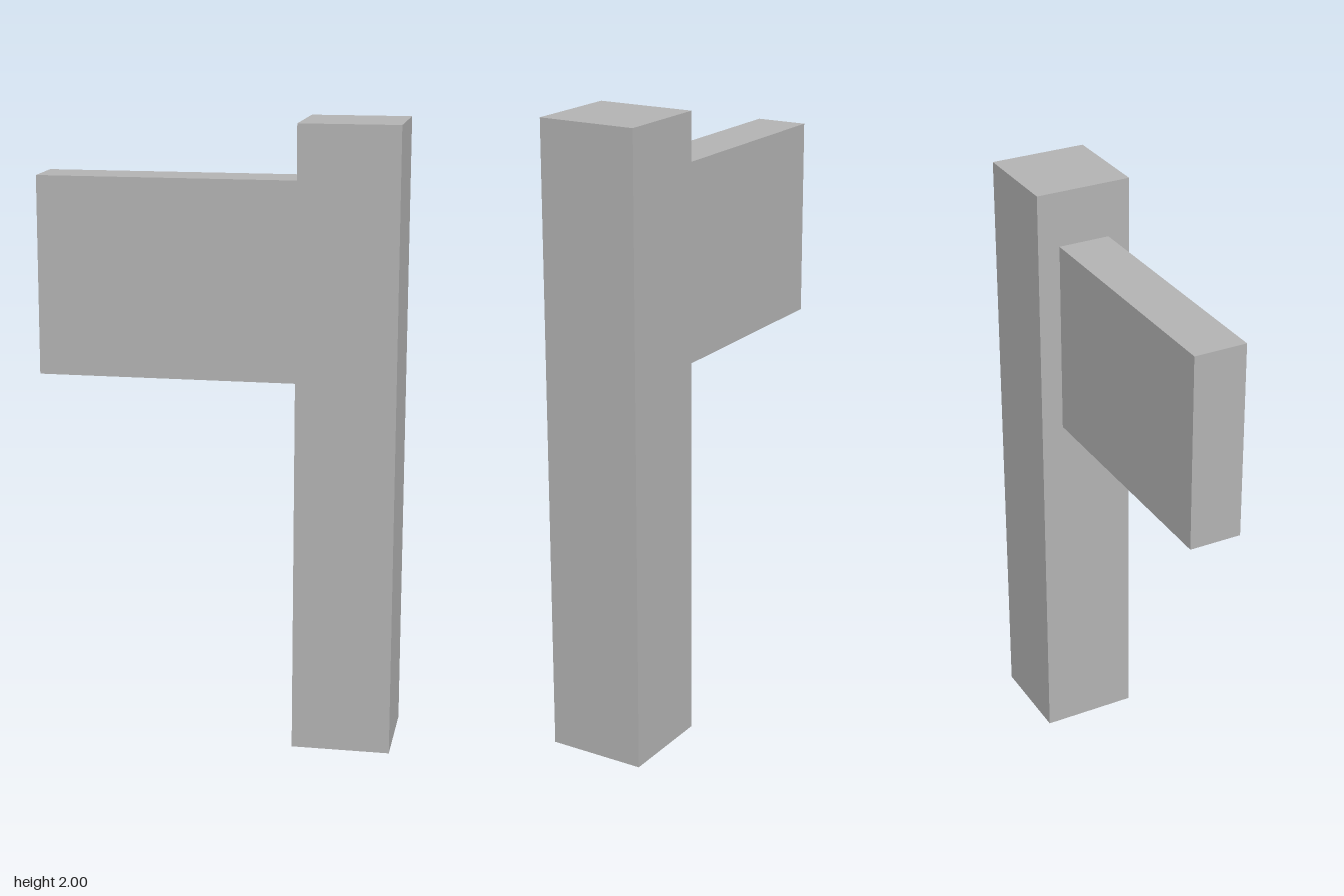
import * as THREE from 'three';

export function createModel() {
  const group = new THREE.Group();
  group.name = 'signpost';
  const grey = new THREE.MeshStandardMaterial({ color: 0xb3b3b3 });
  grey.name = 'grey';

  // Box given by its lower and upper limits on each axis
  const addBox = (name, [x0, x1], [y0, y1], [z0, z1]) => {
    const mesh = new THREE.Mesh(new THREE.BoxGeometry(x1 - x0, y1 - y0, z1 - z0), grey);
    mesh.position.set((x0 + x1) / 2, (y0 + y1) / 2, (z0 + z1) / 2);
    mesh.name = name;
    group.add(mesh);
  };

  // Square upright post
  addBox('post', [0.26, 0.575], [0, 2], [-0.158, 0.158]);
  // Board butting against the side of the post
  addBox('signBoard', [-0.575, 0.26], [1.185, 1.82], [-0.085, 0.085]);

  return group;
}
